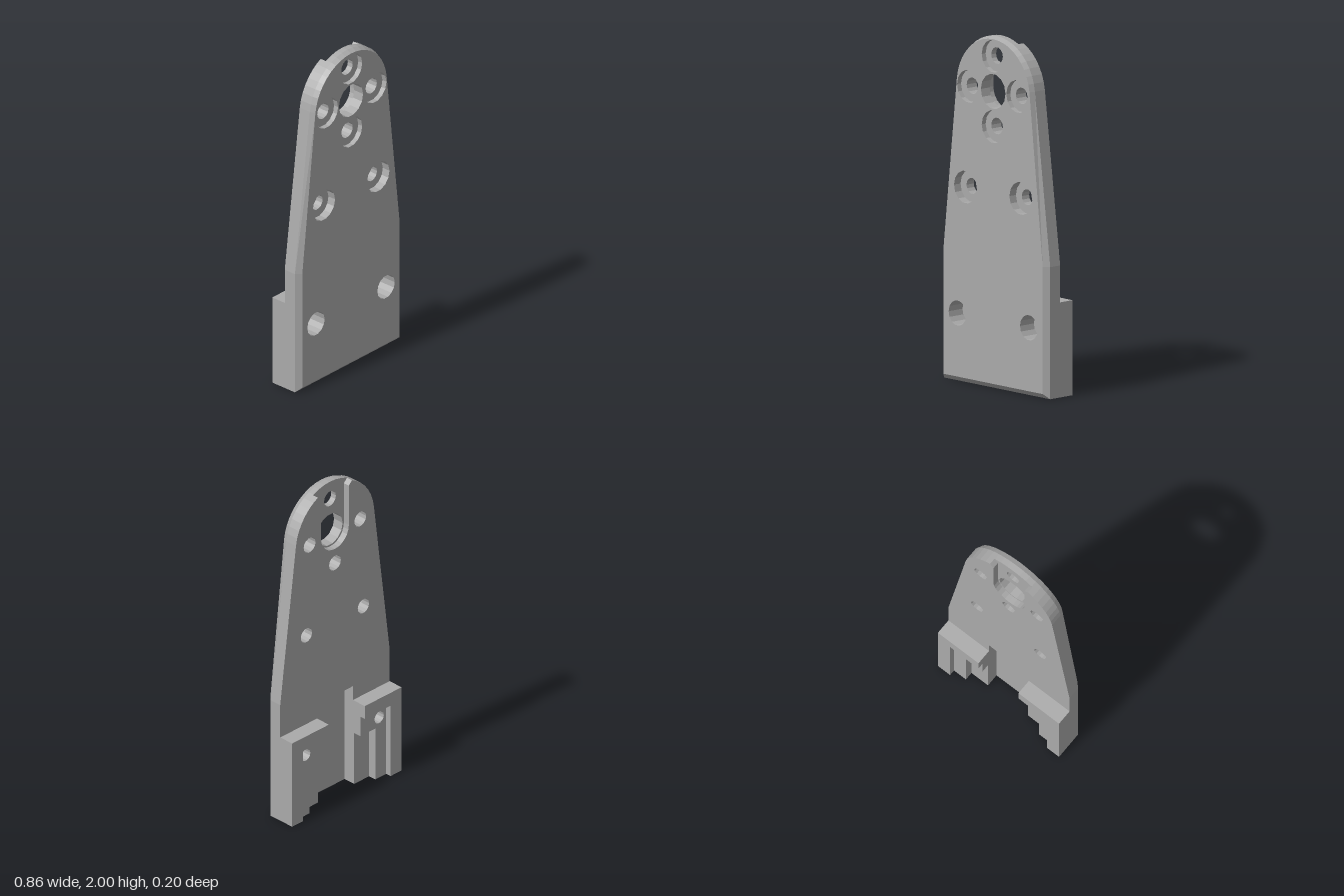
import * as THREE from 'three';

const BACK = -0.006, W = 0.432, CX = 0.142, ARC_Y = 1.69;

// Hole groups: positions, bore radius, counterbore radius, counterbore floor z
const HOLES = [
  { at: [[0, 1.89], [0, 1.49], [0.2, 1.69], [-0.2, 1.69]], r: 0.047, R: 0.093, floor: 0.07 },
  { at: [[0.225, 1.115], [-0.225, 1.115]], r: 0.045, R: 0.093, floor: 0.05 },
  { at: [[0.29, 0.39], [-0.29, 0.39]], r: 0.037, R: 0.072, floor: BACK },
  { at: [[0, ARC_Y]], r: 0.1, R: 0.1, floor: BACK },
];

const V = (x, y) => new THREE.Vector2(x, y);

function arc(cy, r, a0, a1, n) {
  return Array.from({ length: n + 1 }, (_, i) => {
    const a = a0 + (a1 - a0) * i / n;
    return V(r * Math.cos(a), cy + r * Math.sin(a));
  });
}

function circle(x, y, r) {
  return new THREE.Path(arc(0, r, 0, Math.PI * 2, 14).slice(0, -1).map(p => V(p.x + x, p.y + y)));
}

// Tombstone outline; slot cuts in from the top, channel from the bottom
function outline({ w = W, y0 = 0, r = 0.31, slot = false, channel = false } = {}) {
  const a = 0.126;
  let top = arc(ARC_Y, r, a, Math.PI - a, 20);
  if (slot) {
    const lip = ARC_Y + Math.sqrt(r * r - 0.135 * 0.135);
    top = [
      ...top.filter(p => p.x > 0.137),
      V(0.135, lip), V(0.11, lip - 0.025),
      ...arc(ARC_Y, 0.11, 0, -Math.PI, 12),
      V(-0.11, lip - 0.025), V(-0.135, lip),
      ...top.filter(p => p.x < -0.137),
    ];
  }
  const pts = [V(w, y0), V(w, 0.75), ...top, V(-w, 0.75), V(-w, y0)];
  if (channel) pts.push(V(-CX, 0), V(-CX, 0.63), V(CX, 0.63), V(CX, 0));
  return pts;
}

function extrude(shape, z0, z1) {
  const g = new THREE.ExtrudeGeometry(shape, { depth: z1 - z0, bevelEnabled: false });
  g.translate(0, 0, z0);
  return g;
}

export function createModel() {
  const group = new THREE.Group();
  const grey = new THREE.MeshStandardMaterial({ color: 0xaaaaaa, flatShading: true });
  grey.name = 'grey';
  const add = (name, geometry) => {
    const mesh = new THREE.Mesh(geometry, grey);
    mesh.name = name;
    group.add(mesh);
    return mesh;
  };

  function plateShape(pts, z, slot) {
    const shape = new THREE.Shape(pts);
    for (const h of HOLES) {
      for (const [x, y] of h.at) {
        if (slot && x === 0 && y > 1.6) continue; // already open in the slot
        shape.holes.push(circle(x, y, z > h.floor ? h.R : h.r));
      }
    }
    return shape;
  }

  // Plate, stacked from back to front
  const layers = [
    [BACK, 0.033, { slot: true, channel: true }],
    [0.033, 0.05, { channel: true }],
    [0.05, 0.06, { channel: true }],
    [0.06, 0.07, {}],
  ];
  layers.forEach(([z0, z1, cut], i) => {
    add('plateLayer' + (i + 1), extrude(plateShape(outline(cut), (z0 + z1) / 2, cut.slot), z0, z1));
  });

  // Chamfered front layer: inset front outline, rear rim pushed out to full size
  const inner = outline({ w: W - 0.029, y0: 0.029, r: 0.297 });
  const outer = outline();
  const front = extrude(plateShape(inner, 0.085, false), 0.07, 0.1);
  const pos = front.attributes.position;
  for (let i = 0; i < pos.count; i++) {
    if (pos.getZ(i) > 0.085) continue;
    const k = inner.findIndex(p => Math.hypot(p.x - pos.getX(i), p.y - pos.getY(i)) < 1e-4);
    if (k >= 0) pos.setXY(i, outer[k].x, outer[k].y);
  }
  front.computeVertexNormals();
  add('chamferedFront', front);

  // Concave fillet at the top of the rear channel
  const f = 0.045, fillet = new THREE.Shape();
  fillet.moveTo(0.06, 0.63);
  fillet.lineTo(0.06 - f, 0.63);
  fillet.absarc(0.06 - f, 0.63 - f, f, Math.PI / 2, 0, true);
  fillet.closePath();
  const filletGeo = new THREE.ExtrudeGeometry(fillet, { depth: 2 * CX, bevelEnabled: false, curveSegments: 8 });
  filletGeo.translate(0, 0, -CX);
  filletGeo.rotateY(-Math.PI / 2); // profile x becomes z
  add('channelFillet', filletGeo);

  // Stepped rear blocks, one each side of the channel
  for (const s of [1, -1]) {
    const side = s > 0 ? 'left' : 'right';
    const poly = pts => new THREE.Shape(pts.map(([x, y]) => V(s * x, y)));
    add(side + 'BlockRim', extrude(poly([
      [0.345, 0], [W, 0], [W, 0.54], [CX, 0.54], [CX, 0.457], [0.345, 0.457],
    ]), -0.1, BACK));
    const shelf = poly([
      [0.26, 0], [0.345, 0], [0.345, 0.457], [CX, 0.457], [CX, 0.33], [0.26, 0.33],
    ]);
    shelf.holes.push(circle(s * 0.29, 0.39, 0.037));
    add(side + 'BlockShelf', extrude(shelf, -0.065, BACK));
    add(side + 'BlockPocketFloor', extrude(poly([
      [CX, 0], [0.26, 0], [0.26, 0.33], [CX, 0.33],
    ]), -0.016, BACK));
  }
  return group;
}
